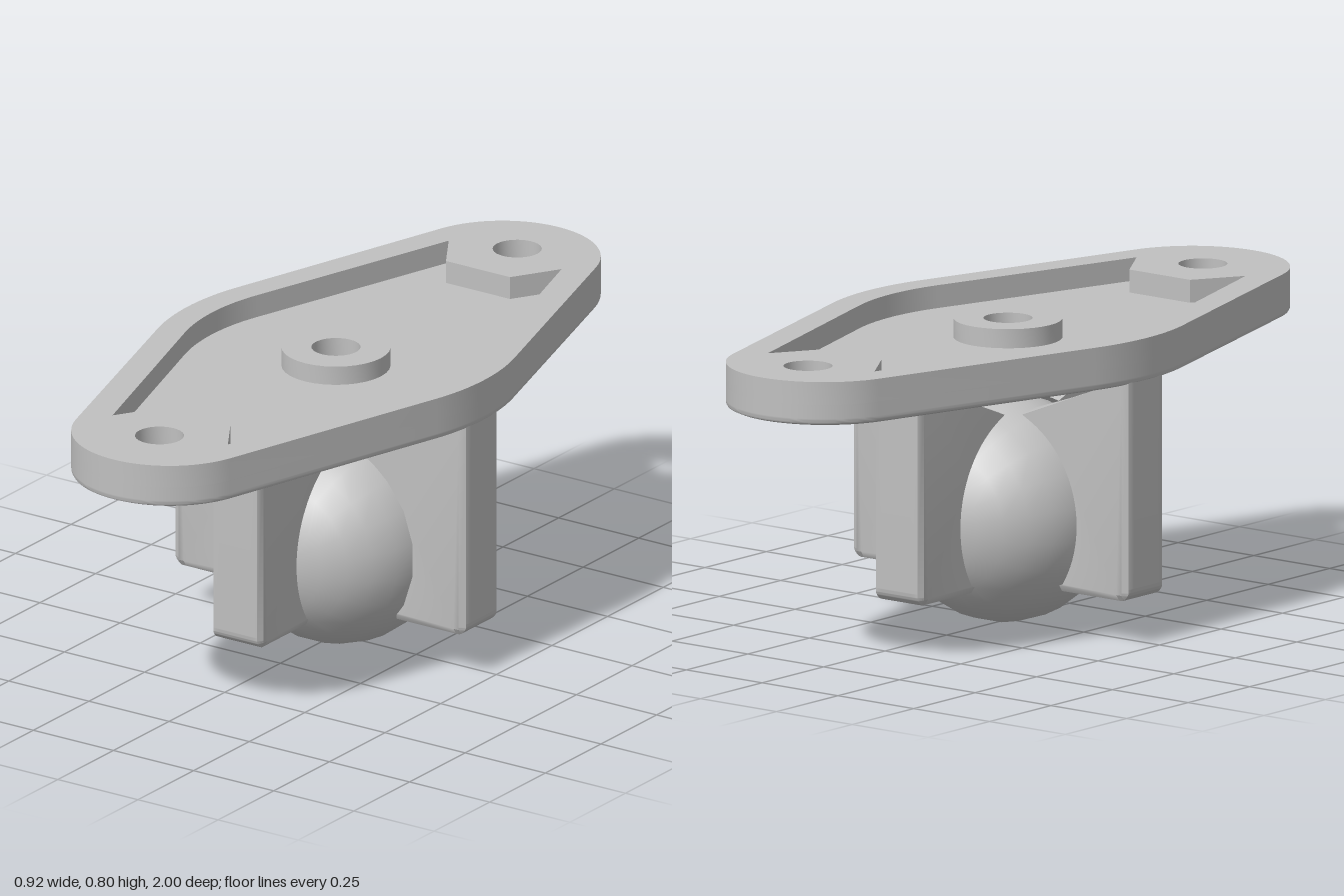
import * as THREE from 'three';
import { toCreasedNormals } from 'three/addons/utils/BufferGeometryUtils.js';

const BASE = 0.685, FLOOR = 0.74, TOP = 0.8; // plate underside, pocket floor, plate top
const BORE = 0.063, BOLTS = [0.814, -0.793]; // hole radius, bolt positions (-z)
const TILT = Math.asin(0.3); // slope of the long plate sides

function circle(y, r) {
  return new THREE.Path().absarc(0, y, r, 0, Math.PI * 2, false);
}

function plateOutline() {
  const s = new THREE.Shape();
  s.absarc(-0.16, 0, 0.62, -TILT, TILT, false);
  s.absarc(0, 0.748, 0.252, TILT, Math.PI - TILT, false);
  s.absarc(0.16, 0, 0.62, Math.PI - TILT, Math.PI + TILT, false);
  s.absarc(0, -0.748, 0.252, Math.PI + TILT, Math.PI * 2 - TILT, false);
  s.closePath();
  return s;
}

// Pocket with half-hexagon notches around the bolt holes
function pocketOutline() {
  const p = new THREE.Path();
  p.absarc(-0.16, 0, 0.545, -TILT, TILT, false);
  [[0.176, 0.76], [0.1, 0.638], [-0.1, 0.638], [-0.176, 0.76]].forEach(([x, y]) => p.lineTo(x, y));
  p.absarc(0.16, 0, 0.545, Math.PI - TILT, Math.PI + TILT, false);
  [[-0.18, -0.745], [-0.1, -0.617], [0.1, -0.617], [0.18, -0.745]].forEach(([x, y]) => p.lineTo(x, y));
  p.closePath();
  return p;
}

function hexagon(y, r) {
  const pts = [];
  for (let i = 0; i < 6; i++) {
    const a = i * Math.PI / 3;
    pts.push(new THREE.Vector2(r * Math.cos(a), y + r * Math.sin(a)));
  }
  return new THREE.Path(pts);
}

// Extrude a shape upward from y0 to y1
function slab(shape, y0, y1, steps = 1) {
  return new THREE.ExtrudeGeometry(shape, { depth: y1 - y0, steps, bevelEnabled: false, curveSegments: 16 })
    .rotateX(-Math.PI / 2).translate(0, y0, 0);
}

// Inset of a rounded edge of radius r at distance d from the face
function roundInset(d, r) {
  const k = Math.max(0, r - d);
  return r - Math.sqrt(Math.max(0, r * r - k * k));
}

function editVertices(geo, rule) {
  const pos = geo.attributes.position, v = new THREE.Vector3();
  for (let i = 0; i < pos.count; i++) {
    v.fromBufferAttribute(pos, i);
    rule(v);
    pos.setXYZ(i, v.x, v.y, v.z);
  }
  return geo;
}

// Finger plate reaching out along +x, with a spherical socket on its inner side
function fingerGeometry() {
  const cy = 0.295, R = 0.3, out = 0.455, low = 0.115, half = 0.078, c = 0.035;
  const s = new THREE.Shape();
  const a0 = Math.asin((low - cy) / R), a1 = Math.acos(0.11 / R);
  s.moveTo(0.11, BASE + 0.01);
  s.absarc(0, cy, R, a1, a0, true);
  s.lineTo(out - c, low);
  s.absarc(out - c, low + c, c, -Math.PI / 2, 0, false);
  s.lineTo(out, BASE + 0.01);
  s.closePath();
  const geo = new THREE.ExtrudeGeometry(s, { depth: half * 2, steps: 16, bevelEnabled: false, curveSegments: 14 })
    .translate(0, 0, -half);
  editVertices(geo, (v) => {
    const r = Math.hypot(v.x, v.y - cy);
    if (Math.abs(r - R) < 0.002) {
      const k = Math.sqrt(R * R - v.z * v.z) / R;
      if (v.y < 0.57) v.x *= k;
      if (v.y > low + 0.001) v.y = cy + (v.y - cy) * k;
    }
    const inset = roundInset(half - Math.abs(v.z), 0.018);
    v.x = Math.min(v.x, out - inset);
    v.y = Math.max(v.y, low + inset);
  });
  return toCreasedNormals(geo, 0.6);
}

export function createModel() {
  const group = new THREE.Group();
  const grey = new THREE.MeshStandardMaterial({ color: 0xc0c0c0 });
  grey.name = 'light grey';
  const add = (name, geo) => {
    const mesh = new THREE.Mesh(geo, grey);
    mesh.name = name;
    group.add(mesh);
    return mesh;
  };

  // Lower plate layer: hexagonal nut seats, centre bore and a rounded lower edge
  const lower = plateOutline();
  lower.holes.push(circle(0, BORE), ...BOLTS.map((y) => hexagon(y, 0.1)));
  const lowerGeo = editVertices(slab(lower, BASE, FLOOR, 12), (v) => {
    const near = Math.min(...[0, ...BOLTS].map((b) => Math.hypot(v.x, v.z + b)));
    if (near < 0.13) return;
    const inset = roundInset(v.y - BASE, 0.014);
    v.x *= 1 - inset / 0.45;
    v.z *= 1 - inset;
  });
  add('mountingPlate', toCreasedNormals(lowerGeo, 0.6));

  // Upper rim with the pocket and bolt holes
  const rim = plateOutline();
  rim.holes.push(pocketOutline(), ...BOLTS.map((y) => circle(y, BORE)));
  add('plateRim', toCreasedNormals(slab(rim, FLOOR, TOP), 0.5));

  // Ring around the centre bore
  const ring = new THREE.Shape().absarc(0, 0, 0.14, 0, Math.PI * 2, false);
  ring.holes.push(circle(0, BORE));
  add('centreRing', toCreasedNormals(slab(ring, FLOOR, 0.79), 0.5));

  // Four fingers holding the ball
  const finger = fingerGeometry();
  for (let i = 0; i < 4; i++) add('finger' + (i + 1), finger).rotation.y = i * Math.PI / 2;

  // Ball, slightly off centre in its socket
  const ball = new THREE.SphereGeometry(0.296, 20, 14)
    .rotateX(Math.PI / 2).rotateZ(Math.PI / 20).translate(0.012, 0.2925, 0);
  add('ball', ball);

  return group;
}
